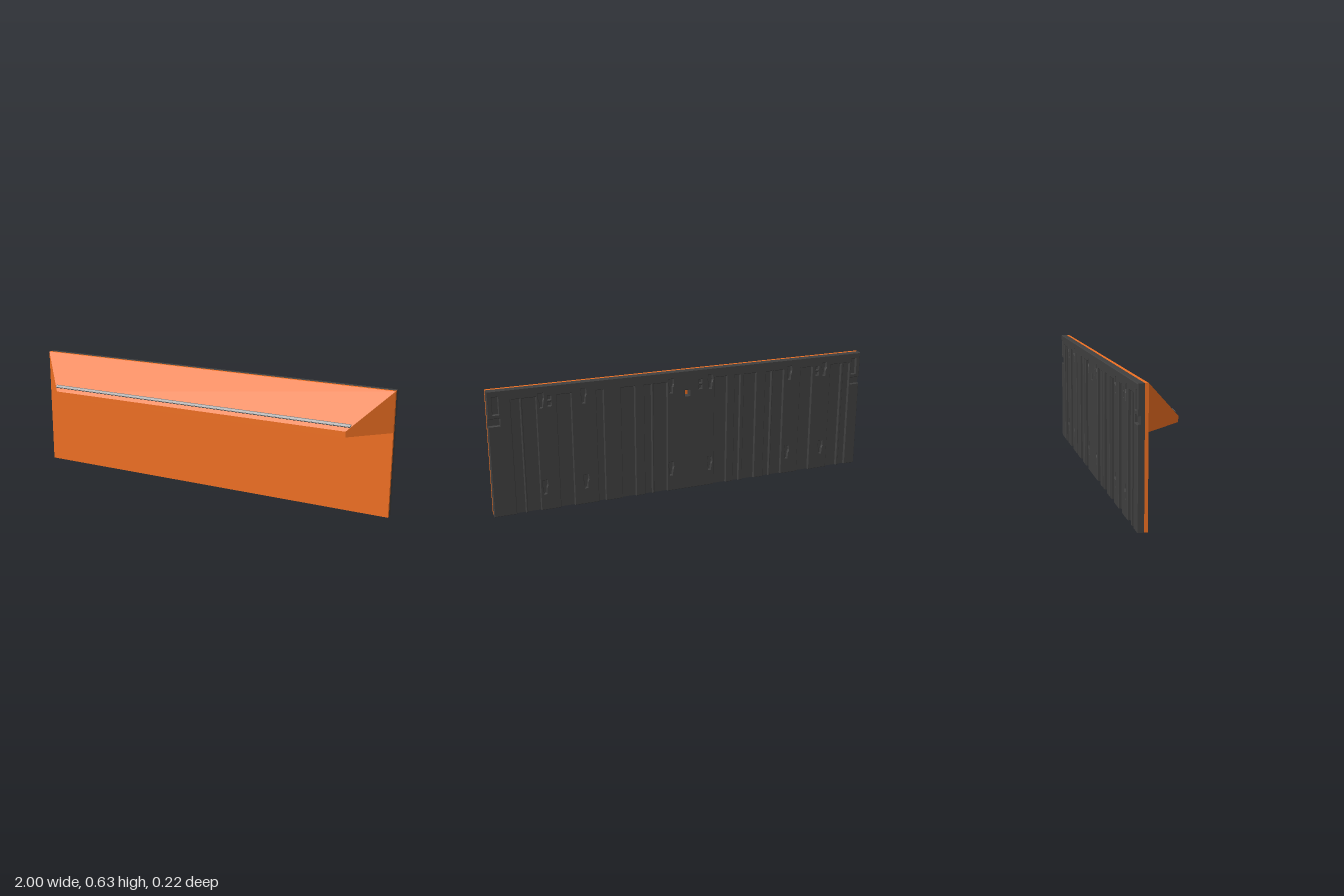
import * as THREE from 'three';

const H = 0.63; // panel height
const orange = new THREE.MeshStandardMaterial({ color: 0xf07022 });
const dark = new THREE.MeshStandardMaterial({ color: 0x404040 });
const grey = new THREE.MeshStandardMaterial({ color: 0xa0a0a0 });

// Vertical grooves on the back: [x from, x to]
const grooves = [
  [-0.937, -0.9], [-0.885, -0.82], [-0.71, -0.64], [-0.54, -0.478], [-0.468, -0.435],
  [-0.38, -0.312], [-0.29, -0.26], [-0.216, -0.147], [0.11, 0.182], [0.192, 0.23],
  [0.28, 0.35], [0.44, 0.475], [0.6, 0.67], [0.77, 0.836], [0.846, 0.89],
];
const slotXs = [-0.781, -0.574, -0.124, 0.089, 0.539, 0.746];
const smallHoleXs = [-0.74, -0.07, 0.706];
const port = [-0.012, 0.5, 0.014, 0.53];

function polygon(points, Type = THREE.Path) {
  return new Type(points.map(([x, y]) => new THREE.Vector2(x, y)));
}

function rectHole(x0, y0, x1, y1) {
  return polygon([[x0, y0], [x0, y1], [x1, y1], [x1, y0]]);
}

// Keyhole slot, wide at the top and narrow at the bottom
function slotHole(x, y) {
  return polygon([
    [x - 0.006, y], [x - 0.008, y + 0.03], [x - 0.013, y + 0.045], [x - 0.011, y + 0.07],
    [x + 0.011, y + 0.07], [x + 0.013, y + 0.045], [x + 0.008, y + 0.03], [x + 0.006, y],
  ]);
}

function add(group, name, geometry, material, x = 0, y = 0, z = 0) {
  const mesh = new THREE.Mesh(geometry, material);
  mesh.name = name;
  mesh.position.set(x, y, z);
  group.add(mesh);
  return mesh;
}

// Ribbed plate outline: grooves open at the bottom, a notch in each end
function ribbedPlate() {
  const points = [[-1, 0]];
  for (const [a, b] of grooves) points.push([a, 0], [a, 0.58], [b, 0.58], [b, 0]);
  points.push([1, 0], [1, 0.46], [0.945, 0.46], [0.945, 0.495], [1, 0.495], [1, H]);
  points.push([-1, H], [-1, 0.495], [-0.945, 0.495], [-0.945, 0.46], [-1, 0.46]);
  const shape = polygon(points, THREE.Shape);

  for (const x of slotXs) shape.holes.push(slotHole(x, 0.525), slotHole(x, 0.085));
  for (const x of smallHoleXs) {
    for (const y of [0.53, 0.56]) shape.holes.push(rectHole(x - 0.008, y, x + 0.008, y + 0.018));
  }
  for (const s of [-1, 1]) {
    shape.holes.push(rectHole(s * 0.962 - 0.014, 0.515, s * 0.962 + 0.014, 0.6));
  }
  shape.holes.push(rectHole(...port));
  return new THREE.ExtrudeGeometry(shape, {
    depth: 0.013, bevelThickness: 0.003, bevelSize: 0.003, bevelOffset: -0.003, bevelSegments: 1,
  });
}

// Thin backing with the port cut through to the front sheet
function backing() {
  const shape = polygon([[-1, 0], [1, 0], [1, H], [-1, H]], THREE.Shape);
  shape.holes.push(rectHole(...port));
  return new THREE.ExtrudeGeometry(shape, { depth: 0.017, bevelEnabled: false });
}

// Hipped wedge: a box whose front face is narrowed and lowered
function wedge() {
  const geometry = new THREE.BoxGeometry(2, 0.202, 0.176);
  const p = geometry.attributes.position;
  for (let i = 0; i < p.count; i++) {
    if (p.getZ(i) < 0) continue;
    p.setX(i, p.getX(i) * 0.825);
    if (p.getY(i) > 0) p.setY(i, 0.456 - 0.529);
  }
  geometry.computeVertexNormals();
  return geometry;
}

export function createModel() {
  const model = new THREE.Group();
  model.name = 'wallPanelWithHood';

  // Front sheet and projecting hood
  add(model, 'frontSheet', new THREE.BoxGeometry(2, H, 0.016), orange, 0, H / 2, -0.072);
  add(model, 'hood', wedge(), orange, 0, 0.529, 0.024);

  // Light strip set into the sloping face
  const strip = new THREE.Group();
  strip.name = 'lightStrip';
  strip.position.set(0, 0.4785, 0.09);
  strip.rotation.x = Math.PI / 4;
  add(strip, 'stripFrame', new THREE.BoxGeometry(1.685, 0.005, 0.018), dark);
  add(strip, 'stripLens', new THREE.BoxGeometry(1.68, 0.007, 0.011), grey);
  model.add(strip);

  // Ribbed back
  const back = new THREE.Group();
  back.name = 'ribbedBack';
  add(back, 'backing', backing(), dark, 0, 0, -0.097);
  add(back, 'ribPlate', ribbedPlate(), dark, 0, 0, -0.108);
  model.add(back);

  return model;
}
